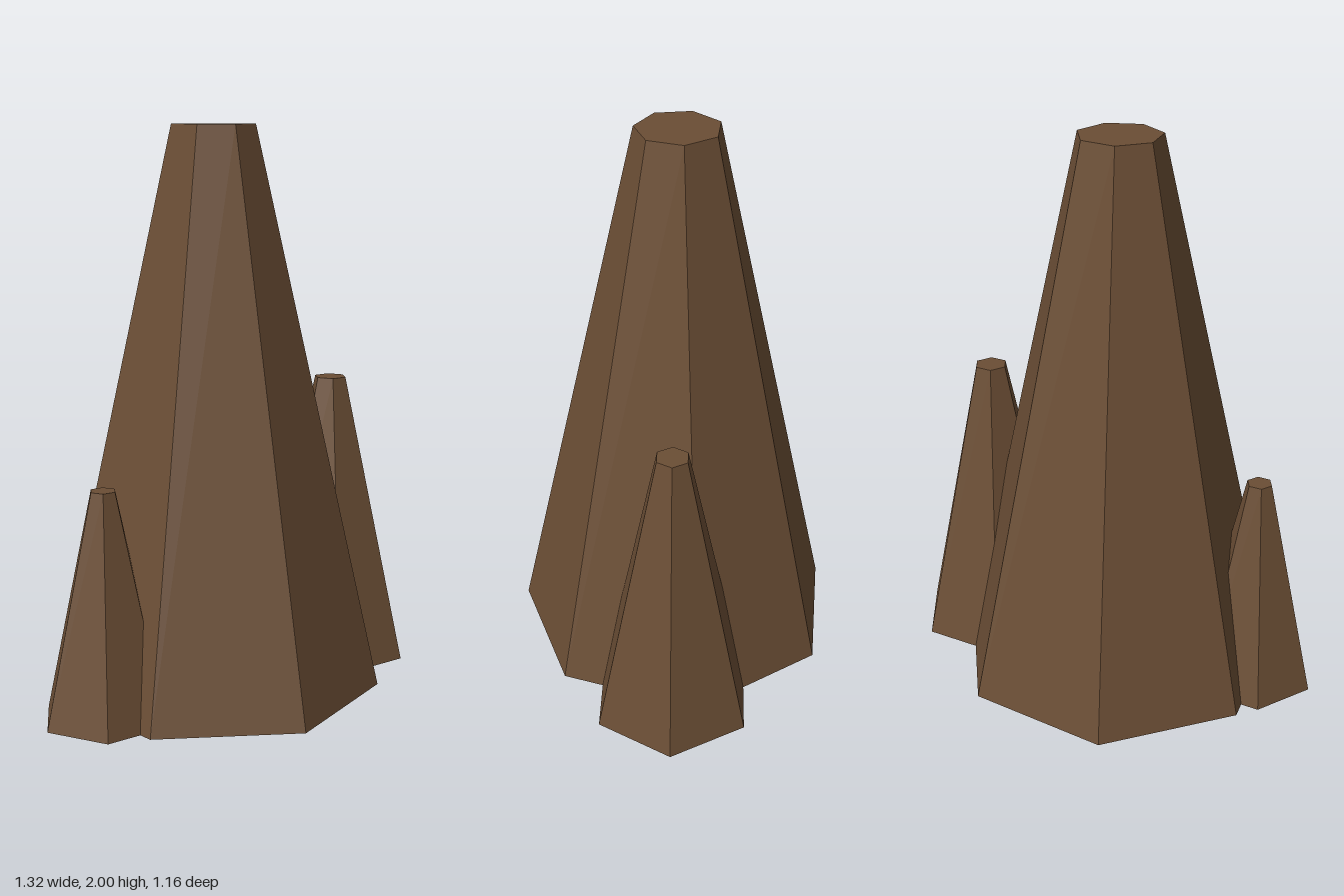
import * as THREE from 'three';

export function createModel() {
  const group = new THREE.Group();
  group.name = 'rockSpires';

  const rock = new THREE.MeshStandardMaterial({ color: 0x6b4e35 });
  rock.name = 'brownRock';
  rock.flatShading = true;

  // Faceted, truncated cone standing on the ground with one corner towards -z
  function addSpire(name, sides, bottomRadius, topRadius, height, x, z) {
    const geometry = new THREE.CylinderGeometry(
      topRadius, bottomRadius, height, sides, 1, false, Math.PI);
    geometry.translate(0, height / 2, 0);
    const mesh = new THREE.Mesh(geometry, rock);
    mesh.name = name;
    mesh.position.set(x, 0, z);
    group.add(mesh);
  }

  addSpire('mainSpire', 7, 0.6, 0.149, 2, -0.063, 0.013);
  addSpire('leftSpire', 6, 0.3, 0.06, 1.07, 0.401, -0.25);
  addSpire('rightSpire', 6, 0.231, 0.046, 0.8, -0.463, 0.346);

  return group;
}
